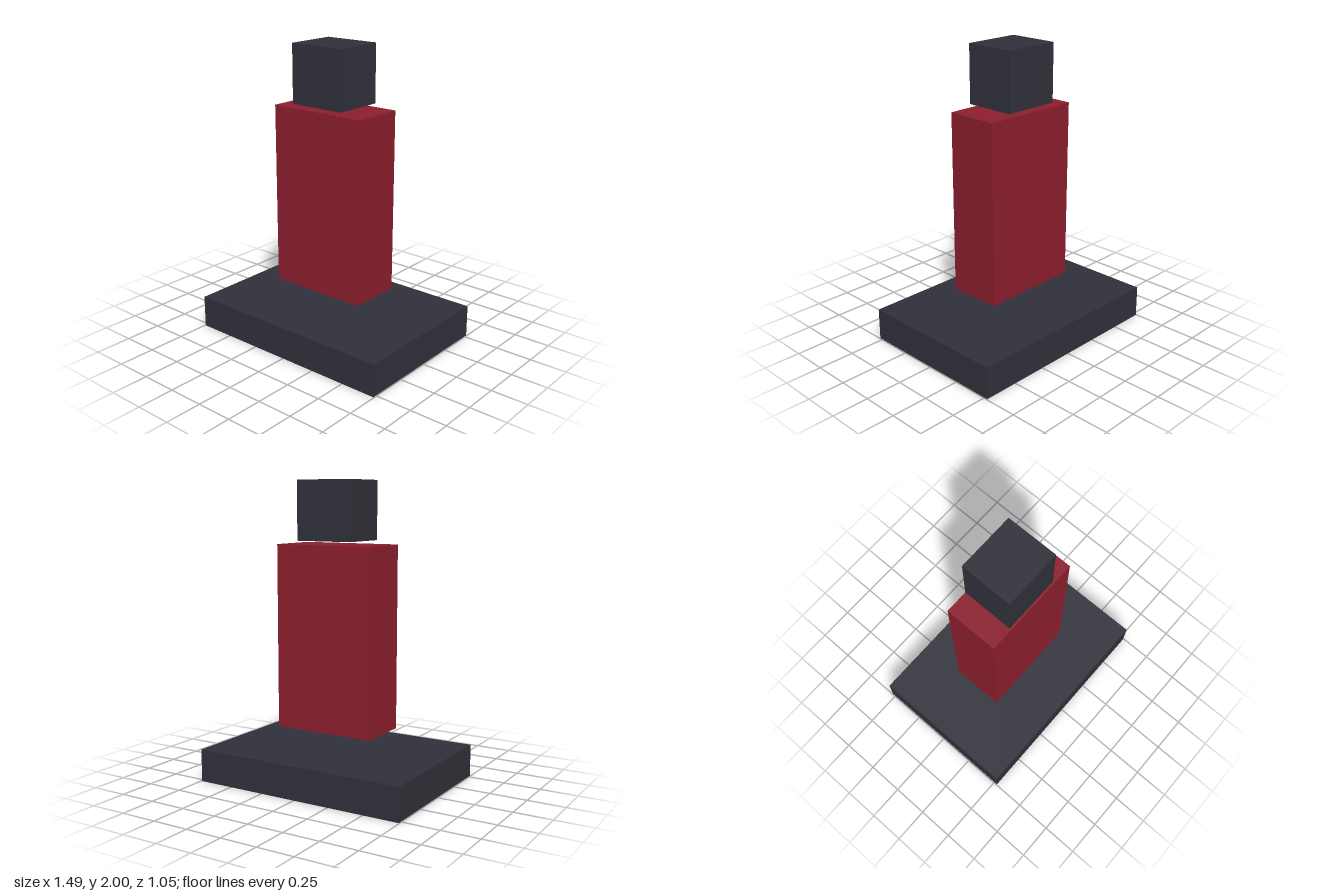
import * as THREE from 'three';

export function createModel() {
  const model = new THREE.Group();
  const dark = new THREE.MeshStandardMaterial({ color: 0x30303a });
  const red = new THREE.MeshStandardMaterial({ color: 0x8b1e2d });

  // Box spanning bottom to top, centred on z = 0
  function block(name, material, width, depth, bottom, top, x = 0) {
    const mesh = new THREE.Mesh(new THREE.BoxGeometry(width, top - bottom, depth), material);
    mesh.name = name;
    mesh.position.set(x, (bottom + top) / 2, 0);
    model.add(mesh);
  }

  // Three separate blocks with air gaps between them
  block('base', dark, 1.49, 1.05, 0, 0.22);
  block('body', red, 0.7, 0.365, 0.358, 1.585);
  block('head', dark, 0.395, 0.35, 1.61, 2, -0.002);

  return model;
}
